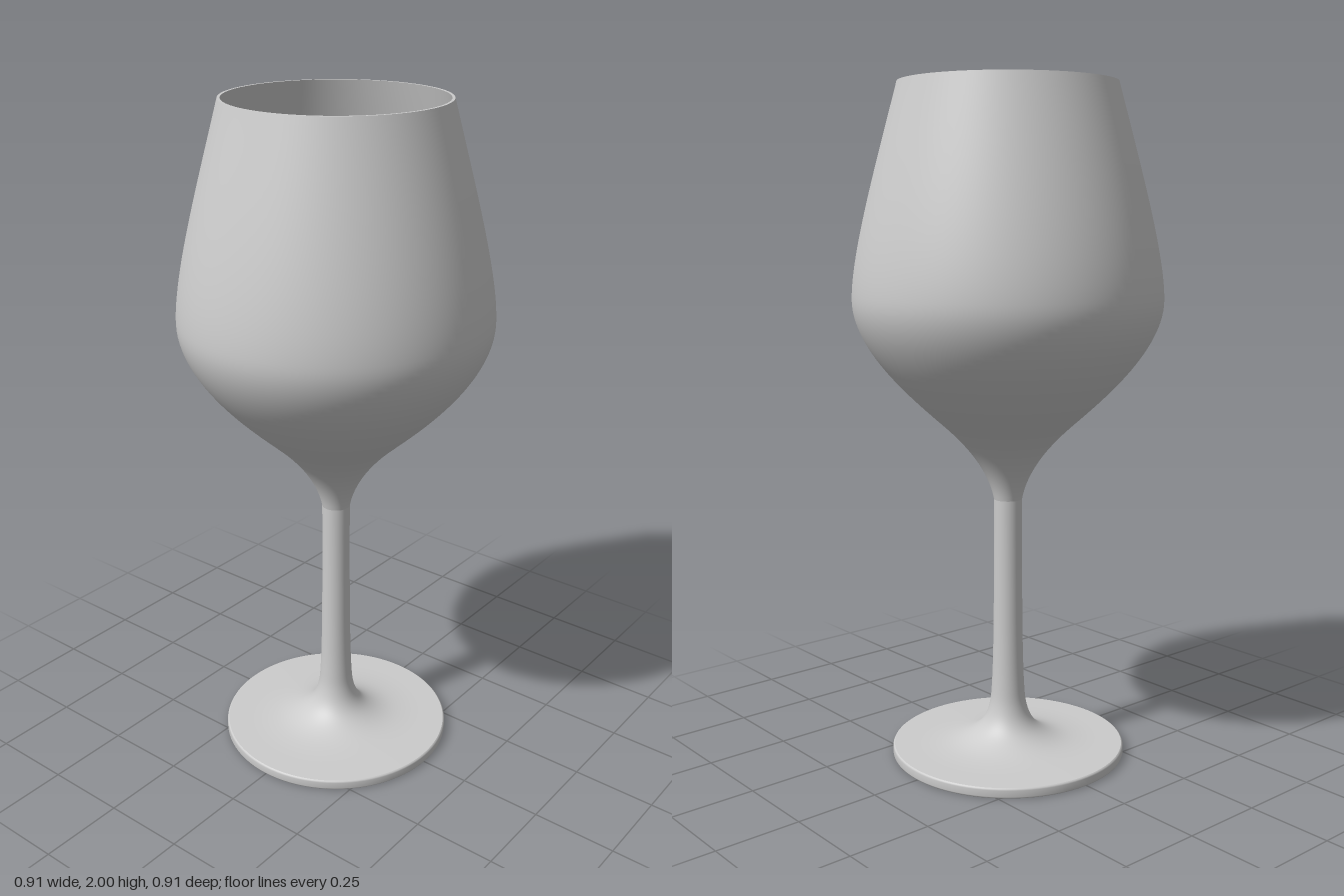
import * as THREE from 'three';

const SEGMENTS = 96;
const glass = new THREE.MeshStandardMaterial({ color: 0xcccccc });
const wine = new THREE.MeshStandardMaterial({ color: 0xee3826 });

const points = (list) => list.map(([r, y]) => new THREE.Vector2(r, y));
const smooth = (list, n) => new THREE.SplineCurve(points(list)).getPoints(n);
const bezier = (list, n) => new THREE.CubicBezierCurve(...points(list)).getPoints(n);

// Spin a profile, listed from bottom to top on the outside, about the y axis
function lathe(name, profile, material) {
  const mesh = new THREE.Mesh(new THREE.LatheGeometry(profile, SEGMENTS), material);
  mesh.name = name;
  return mesh;
}

function disc(name, radius, y, up, material) {
  const mesh = new THREE.Mesh(new THREE.CircleGeometry(radius, SEGMENTS), material);
  mesh.rotation.x = up ? -Math.PI / 2 : Math.PI / 2;
  mesh.position.y = y;
  mesh.name = name;
  return mesh;
}

export function createModel() {
  const model = new THREE.Group();
  model.name = 'wineGlass';

  // Foot: flat underside, thin edge with softened corners
  model.add(disc('footUnderside', 0.348, 0, false, glass));
  model.add(lathe('footEdge', points([
    [0.348, 0], [0.351, 0.002], [0.353, 0.006], [0.353, 0.025], [0.351, 0.029], [0.348, 0.031],
  ]), glass));

  // Foot top sweeping up into the stem
  model.add(lathe('stem', smooth([
    [0.348, 0.031], [0.24, 0.033], [0.165, 0.043], [0.11, 0.066], [0.075, 0.1],
    [0.056, 0.15], [0.049, 0.22], [0.045, 0.34], [0.043, 0.5], [0.042, 0.65], [0.042, 0.79],
  ], 60), glass));

  // Bowl: neck, rounded belly and tapering upper wall, joined tangentially
  const outer = [
    ...bezier([[0.042, 0.79], [0.055, 0.86], [0.1, 0.93], [0.175, 1]], 16),
    ...bezier([[0.175, 1], [0.25, 1.07], [0.453, 1.23], [0.453, 1.385]], 30).slice(1),
    ...bezier([[0.453, 1.385], [0.453, 1.52], [0.372, 1.79], [0.316, 2]], 30).slice(1),
  ];
  const wall = 0.008;
  const inner = outer.filter((p) => p.y > 0.86)
    .map((p) => new THREE.Vector2(p.x - wall, p.y));
  inner.unshift(new THREE.Vector2(0, inner[0].y - 0.015));
  model.add(lathe('bowlOuter', outer, glass));
  model.add(lathe('bowlInner', inner.slice().reverse(), glass));
  model.add(lathe('rim', points([[0.316, 2], [0.316 - wall, 2]]), glass));

  // Wine filling the bowl up to its widest part
  const level = 1.375;
  const body = inner.filter((p) => p.y < level)
    .map((p) => new THREE.Vector2(Math.max(0, p.x - 0.002), p.y + 0.002));
  const top = body[body.length - 1];
  model.add(lathe('wineBody', body, wine));
  model.add(disc('wineSurface', top.x, top.y, true, wine));

  return model;
}
